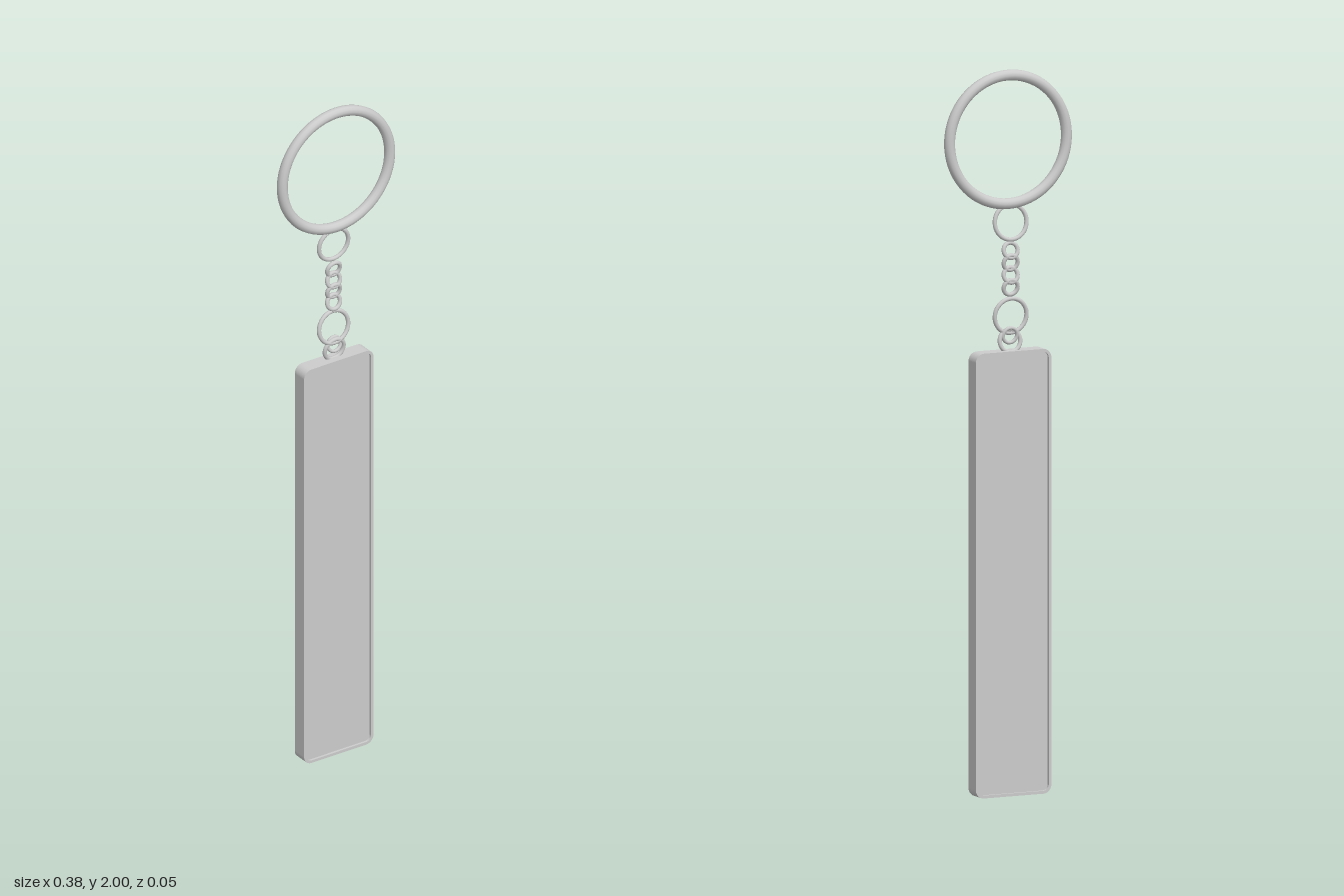
import * as THREE from 'three';

const metal = new THREE.MeshStandardMaterial({ color: 0xcccccc });

// Rounded rectangle outline centred on the origin
function roundedRect(w, h, r, Type = THREE.Shape) {
  const s = new Type(), x = w / 2, y = h / 2;
  s.absarc(x - r, y - r, r, 0, Math.PI / 2);
  s.absarc(-x + r, y - r, r, Math.PI / 2, Math.PI);
  s.absarc(-x + r, -y + r, r, Math.PI, Math.PI * 1.5);
  s.absarc(x - r, -y + r, r, Math.PI * 1.5, Math.PI * 2);
  s.closePath();
  return s;
}

// Flat slab of the given depth, centred on z = 0
function slab(name, shape, depth) {
  const geo = new THREE.ExtrudeGeometry(shape, { depth, bevelEnabled: false, curveSegments: 8 });
  geo.translate(0, 0, -depth / 2);
  const mesh = new THREE.Mesh(geo, metal);
  mesh.name = name;
  return mesh;
}

function ring(name, x, y, radius, tube, tiltX = 0, tiltY = 0, segments = 40) {
  const mesh = new THREE.Mesh(new THREE.TorusGeometry(radius, tube, 12, segments), metal);
  mesh.name = name;
  mesh.position.set(x, y, 0);
  mesh.rotation.set(tiltX, tiltY, 0);
  return mesh;
}

export function createModel() {
  const model = new THREE.Group();
  model.name = 'keyring';

  // Long tag: thin raised rim around a panel recessed on both faces
  const W = 0.229, H = 1.225, RIM = 0.008, CORNER = 0.025;
  const tag = new THREE.Group();
  tag.name = 'tag';
  tag.position.set(-0.006, H / 2 + 0.002, 0);
  const frame = roundedRect(W, H, CORNER);
  frame.holes.push(roundedRect(W - 2 * RIM, H - 2 * RIM, CORNER - RIM, THREE.Path));
  tag.add(slab('tagRim', frame, 0.045));
  tag.add(slab('tagPanel', roundedRect(W - RIM, H - RIM, CORNER - RIM / 2), 0.031));
  model.add(tag);

  // Large split ring
  model.add(ring('keyRing', 0, 1.808, 0.177, 0.015, 0, 0, 72));

  // Connecting rings above and below the chain
  const cx = -0.008;
  model.add(ring('upperRing', cx, 1.58, 0.048, 0.006, 0.08));
  model.add(ring('lowerRing', cx, 1.322, 0.048, 0.006, -0.08));

  // Small interlocked chain links
  for (let i = 0; i < 4; i++) {
    model.add(ring('chainLink' + (i + 1), cx, 1.4 + i * 0.034, 0.021, 0.006, i % 2 ? 0.2 : -0.2, 0, 24));
  }

  // Loops fixing the chain to the top of the tag
  model.add(ring('tagLoop', cx + 0.002, 1.253, 0.031, 0.006, 0.12, 0, 32));
  model.add(ring('tagLink', cx + 0.002, 1.268, 0.021, 0.005, -0.15, 0, 24));

  return model;
}
